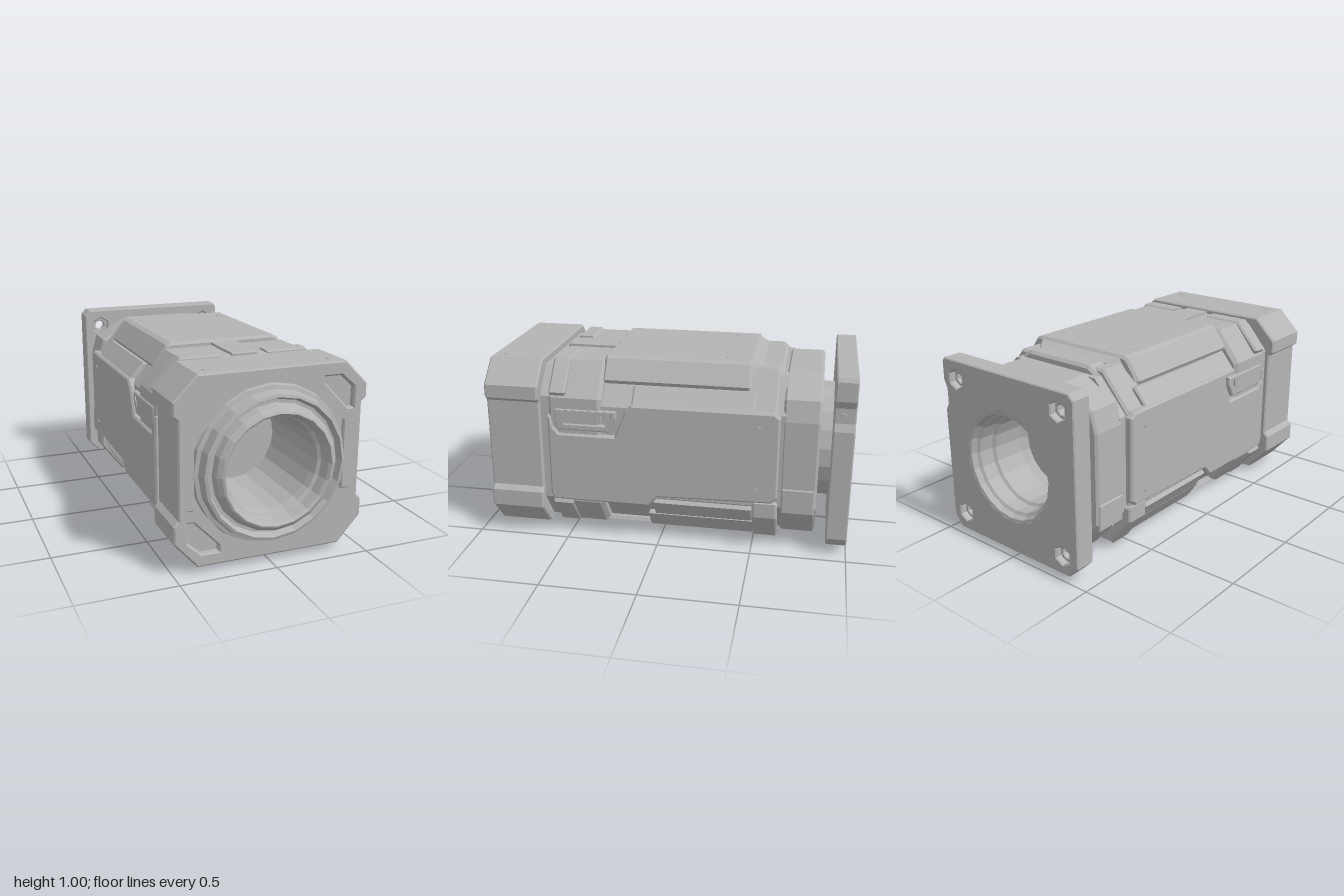
import * as THREE from 'three';

const grey = new THREE.MeshStandardMaterial({ color: 0xb4b4b4 });
grey.name = 'grey metal';

export function createModel() {
  const model = new THREE.Group();
  model.name = 'cameraHousing';

  const add = (name, geo) => {
    const g = geo.index ? geo.toNonIndexed() : geo;
    g.computeVertexNormals();
    const mesh = new THREE.Mesh(g, grey);
    mesh.name = name;
    model.add(mesh);
    return mesh;
  };
  const toShape = (pts) => new THREE.Shape(pts.map(([x, y]) => new THREE.Vector2(x, y)));
  const flip = (pts) => pts.map(([x, y]) => [-x, y]);
  // full outline from its right half, listed top to bottom
  const whole = (half) => [...half, ...flip(half).reverse()];
  const ring = (r, cx = 0, cy = 0.5, n = 20) => Array.from({ length: n }, (_, i) => {
    const a = (i + 0.5) / n * Math.PI * 2;
    return [cx + r * Math.cos(a), cy + r * Math.sin(a)];
  });
  const extrude = (pts, depth, bevel, holes = []) => {
    const shape = toShape(pts);
    shape.holes = holes.map((h) => new THREE.Path(toShape(h).getPoints()));
    const geo = new THREE.ExtrudeGeometry(shape, {
      depth: depth - 2 * bevel, bevelEnabled: bevel > 0, bevelThickness: bevel,
      bevelSize: bevel, bevelOffset: -bevel, bevelSegments: 1,
    });
    return geo.translate(0, 0, bevel);
  };
  // section in x,y running from z0 to z1
  const prism = (name, pts, z0, z1, bevel = 0.01, holes = []) =>
    add(name, extrude(pts, z1 - z0, bevel, holes).translate(0, 0, z0));
  const mirrored = (name, pts, z0, z1, bevel) => {
    prism(name, pts, z0, z1, bevel);
    prism(name, flip(pts), z0, z1, bevel);
  };
  // outline in z,y, with thickness along x, on both sides
  const sidePlates = (name, pts, x0, x1, bevel = 0.008, holes = []) => {
    for (const s of [1, -1]) {
      const m = (p) => p.map(([z, y]) => [-s * z, y]);
      const geo = extrude(m(pts), x1 - x0, bevel, holes.map(m));
      add(name, geo.rotateY(s * Math.PI / 2).translate(s * x0, 0, 0));
    }
  };
  const lathe = (name, profile) => {
    const geo = new THREE.LatheGeometry(profile.map(([r, z]) => new THREE.Vector2(r, z)), 20);
    add(name, geo.rotateX(Math.PI / 2).translate(0, 0.5, 0));
  };
  const box = (name, x0, x1, y0, y1, z0, z1, bevel = 0.006) =>
    prism(name, [[x0, y0], [x1, y0], [x1, y1], [x0, y1]], z0, z1, bevel);

  // Front block: backing with bore, then face plate with recess and corner pockets
  const frontOutline = whole([[0.38, 0.98], [0.5, 0.86], [0.5, 0.79], [0.475, 0.77],
    [0.475, 0.285], [0.5, 0.26], [0.5, 0.17], [0.38, 0.035]]);
  prism('frontBlock', frontOutline, 0.63, 0.885, 0.008, [ring(0.33)]);
  const recess = whole([[0.18, 0.92], [0.37, 0.7], [0.44, 0.7], [0.44, 0.32], [0.37, 0.32], [0.18, 0.09]]);
  const pocket = [[0.43, 0.845], [0.36, 0.91], [0.27, 0.91], [0.27, 0.88], [0.4, 0.745], [0.43, 0.745]];
  const low = pocket.map(([x, y]) => [x, 1.01 - y]);
  prism('frontPlate', frontOutline, 0.87, 0.92, 0.008, [recess, pocket, flip(pocket), low, flip(low)]);
  for (const s of [1, -1]) {
    box('frontSideStrip', s * 0.415 - 0.025, s * 0.415 + 0.025, 0.32, 0.7, 0.87, 0.905);
  }

  // Lens barrel and front bore
  lathe('lensBarrel', [[0.405, 0.87], [0.395, 0.905], [0.375, 0.91], [0.365, 0.965], [0.35, 0.97],
    [0.335, 0.935], [0.318, 0.935], [0.31, 0.975], [0.29, 0.995], [0.28, 1.0], [0.268, 0.985],
    [0.258, 0.93], [0.243, 0.92], [0.235, 0.88], [0.23, 0.45], [0, 0.45]]);

  // Body core
  const core = whole([[0.28, 0.96], [0.45, 0.76], [0.45, 0.26], [0.28, 0.055]]);
  const shoulder = whole([[0.33, 0.97], [0.465, 0.8], [0.465, 0.21], [0.34, 0.045]]);
  const neckSection = whole([[0.27, 0.93], [0.425, 0.76], [0.425, 0.25], [0.28, 0.07]]);
  prism('bodyCore', core, -0.61, 0.4, 0.012);
  prism('frontShoulder', shoulder, 0.3, 0.59, 0.02, [ring(0.3)]);
  prism('frontGroove', whole([[0.33, 0.94], [0.45, 0.8], [0.45, 0.22], [0.33, 0.06]]), 0.57, 0.64, 0, [ring(0.3)]);
  prism('rearGroove', neckSection, -0.66, -0.59, 0);

  // Raised ridge and centre tab behind the front block
  mirrored('topRidge', [[0.12, 0.955], [0.12, 0.98], [0.34, 0.98], [0.475, 0.83], [0.45, 0.8], [0.3, 0.955]], 0.49, 0.58, 0.01);
  box('topTab', -0.07, 0.07, 0.94, 0.983, 0.3, 0.58);
  mirrored('lowerCorner', [[0.3, 0.05], [0.34, 0.037], [0.475, 0.2], [0.46, 0.23]], 0.47, 0.58, 0.006);

  // Top cover, with a tapered tail
  const cover = whole([[0.29, 0.997], [0.315, 0.985], [0.385, 0.885], [0.375, 0.865], [0.28, 0.93]]);
  prism('topCover', cover, -0.47, 0.31, 0.014);
  const tail = prism('topCoverTail', whole([[0.28, 0.99], [0.37, 0.88], [0.28, 0.9]]), -0.53, -0.45, 0);
  const tp = tail.geometry.attributes.position;
  for (let i = 0; i < tp.count; i++) {
    if (tp.getZ(i) < -0.5) tp.setXYZ(i, tp.getX(i) * 0.8, tp.getY(i) - 0.025, tp.getZ(i));
  }
  tail.geometry.computeVertexNormals();
  prism('rearTopStep', whole([[0.2, 0.97], [0.27, 0.93], [0.27, 0.85]]), -0.63, -0.5, 0.015);
  mirrored('upperRail', [[0.36, 0.86], [0.39, 0.865], [0.46, 0.785], [0.43, 0.75]], -0.5, 0.14, 0.008);

  // Underside cover, rails, rear brackets and latch
  prism('bottomCover', whole([[0.3, 0.15], [0.39, 0.135], [0.32, 0.037]]), -0.62, 0.07, 0.008);
  mirrored('lowerRail', [[0.37, 0.16], [0.4, 0.145], [0.46, 0.235], [0.43, 0.27]], -0.5, 0.03, 0.008);
  mirrored('lowerBracket', [[0.3, 0.06], [0.34, 0.037], [0.465, 0.2], [0.465, 0.28], [0.42, 0.28]], -0.63, -0.5, 0.01);
  prism('bottomFront', whole([[0.3, 0.06], [0.31, 0.04]]), 0.05, 0.6, 0.004);
  box('latch', -0.07, 0.07, 0.022, 0.05, 0.14, 0.47);
  box('latchTip', -0.05, 0.05, 0.003, 0.03, 0.17, 0.22);

  // Side panels with a notch for the grip
  sidePlates('sidePanel', [[0.59, 0.7], [0.59, 0.25], [0.565, 0.22], [0.05, 0.22], [0, 0.275],
    [-0.6, 0.29], [-0.63, 0.32], [-0.63, 0.76], [-0.6, 0.785], [0.14, 0.785], [0.17, 0.75],
    [0.23, 0.605], [0.53, 0.605], [0.56, 0.64], [0.575, 0.7]], 0.43, 0.478, 0.01);
  const grip = [[0.55, 0.74], [0.55, 0.65], [0.53, 0.625], [0.26, 0.625], [0.22, 0.7], [0.22, 0.74]];
  const slot = [[0.5, 0.73], [0.5, 0.66], [0.28, 0.66], [0.25, 0.7], [0.25, 0.73]];
  sidePlates('gripFrame', grip, 0.43, 0.473, 0.006, [slot]);
  sidePlates('gripButton', [[0.48, 0.72], [0.48, 0.67], [0.3, 0.67], [0.3, 0.72]], 0.43, 0.463, 0.004);

  // Rear collar, neck and mounting flange
  prism('rearCollar', whole([[0.21, 0.94], [0.4, 0.84], [0.43, 0.73], [0.43, 0.25], [0.26, 0.04]]),
    -0.83, -0.64, 0.012, [ring(0.285)]);
  sidePlates('collarPad', [[-0.65, 0.36], [-0.82, 0.36], [-0.82, 0.22], [-0.65, 0.22]], 0.41, 0.437, 0.006);
  prism('neck', ring(0.315), -0.9, -0.82, 0, [ring(0.27)]);
  const flange = [[-0.42, 0.98], [0.43, 0.98], [0.445, 0.96], [0.445, 0.86], [0.425, 0.82], [0.425, 0.74],
    [0.445, 0.7], [0.445, 0.1], [0.39, 0.04], [-0.39, 0.04], [-0.45, 0.1], [-0.45, 0.95]];
  const corners = [[0.35, 0.88], [-0.35, 0.88], [0.35, 0.14], [-0.35, 0.14]];
  prism('mountFlange', flange, -1, -0.89, 0.006, [ring(0.285), ...corners.map(([x, y]) => ring(0.05, x, y, 6))]);
  for (const [x, y] of corners) {
    prism('boltRing', ring(0.052, x, y, 8), -0.965, -0.915, 0.004, [ring(0.03, x, y, 8)]);
  }
  lathe('rearBore', [[0, -0.66], [0.215, -0.66], [0.235, -0.7], [0.235, -0.87], [0.25, -0.88],
    [0.25, -0.96], [0.265, -0.97], [0.275, -0.998], [0.29, -1.0]]);

  // Small screws
  const screw = (x, y, z, axis) => {
    const geo = new THREE.CylinderGeometry(0.014, 0.018, 0.012, 6);
    if (axis === 'x') geo.rotateZ(-Math.sign(x) * Math.PI / 2);
    add('screw', geo.translate(x, y, z));
  };
  for (const s of [1, -1]) {
    screw(s * 0.24, 0.994, -0.34, 'y');
    screw(s * 0.32, 0.978, 0.85, 'y');
    screw(s * 0.476, 0.7, -0.52, 'x');
    screw(s * 0.476, 0.355, -0.52, 'x');
  }
  screw(0.424, 0.78, -0.94, 'x');

  return model;
}
